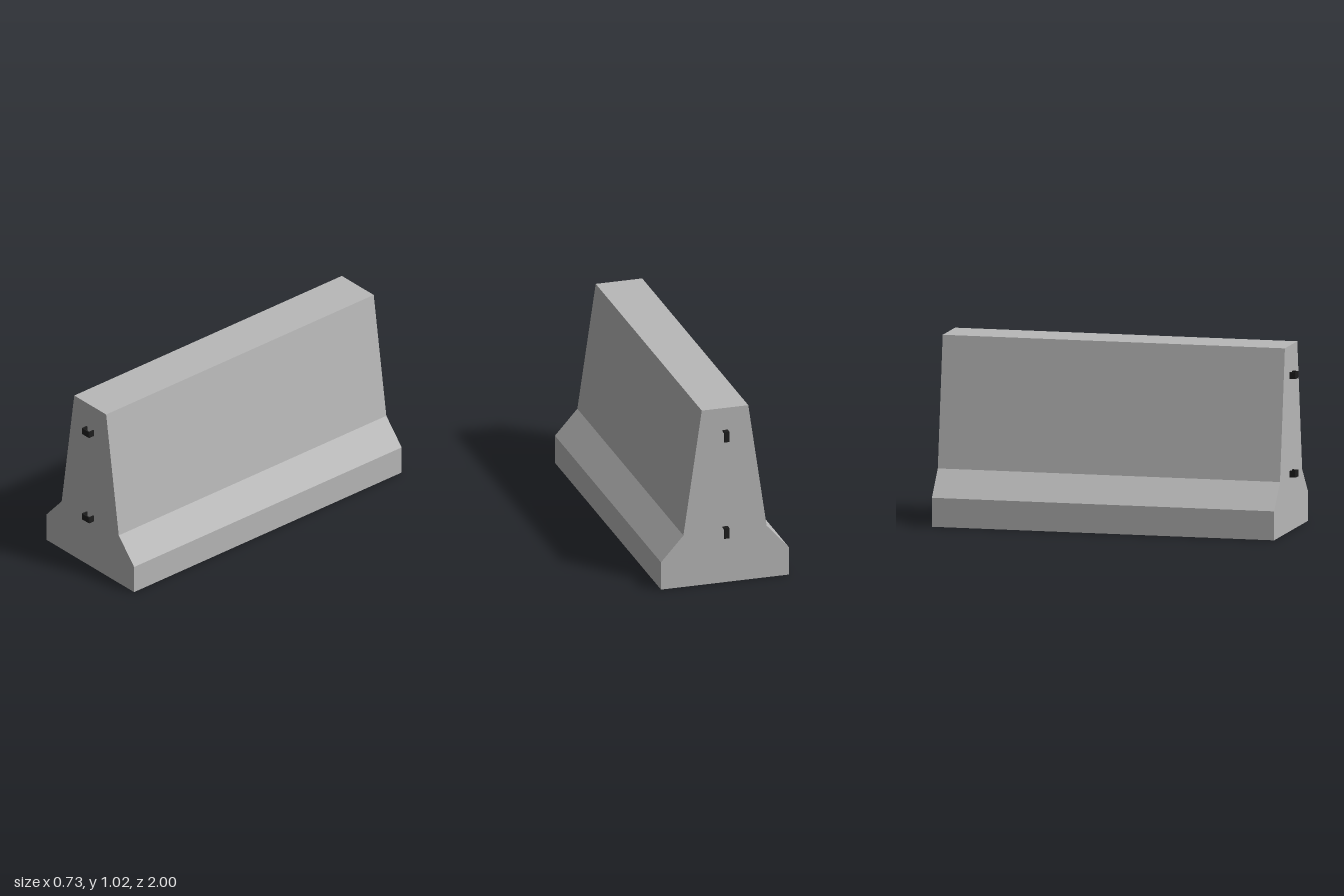
import * as THREE from 'three';

export function createModel() {
  const model = new THREE.Group();
  model.name = 'roadBarrier';
  const concrete = new THREE.MeshStandardMaterial({ color: 0xb8b8b8 });
  concrete.name = 'concrete';
  const steel = new THREE.MeshStandardMaterial({ color: 0x1e1e1e });
  steel.name = 'darkSteel';

  const END = 0.965; // half length of the concrete block
  const TIP = 1.0;   // outer reach of the steel fittings

  const outline = (points) => new THREE.Shape(points.map(([x, y]) => new THREE.Vector2(x, y)));
  const extrude = (points, depth) => {
    const geometry = new THREE.ExtrudeGeometry(outline(points), { depth, bevelEnabled: false });
    geometry.translate(0, 0, -depth / 2);
    return geometry;
  };
  const add = (name, geometry, material) => {
    const mesh = new THREE.Mesh(geometry, material);
    mesh.name = name;
    model.add(mesh);
    return mesh;
  };

  // Concrete block: mirrored half profile, wide foot and tapering wall
  const half = [[0.366, 0], [0.366, 0.16], [0.238, 0.303], [0.133, 1.025]];
  const mirrored = half.map(([x, y]) => [-x, y]).reverse();
  add('concreteBlock', extrude([...half, ...mirrored], END * 2), concrete);

  // Front eyes: U-shaped straps with chamfered corners, open from above
  const w = 0.031, t = 0.007, c = 0.004, reach = TIP - END;
  const strap = [
    [-w, -0.003], [-w + t, -0.003], [-w + t, reach - t], [w - t, reach - t],
    [w - t, -0.003], [w, -0.003], [w, reach - c], [w - c, reach],
    [-w + c, reach], [-w, reach - c],
  ];
  for (const [level, y] of [['lower', 0.316], ['upper', 0.86]]) {
    const geometry = extrude(strap, 0.036);
    geometry.rotateX(Math.PI / 2);
    add(level + 'FrontEye', geometry, steel).position.set(0, y, END);
  }

  // Back hooks: flat arm reaching out, then bent downwards
  const hook = [
    [-0.003, 0], [-0.003, -0.007], [reach - 0.007, -0.007],
    [reach - 0.007, -0.06], [reach, -0.06], [reach, 0],
  ];
  for (const [level, y] of [['lower', 0.329], ['upper', 0.896]]) {
    const geometry = extrude(hook, 0.03);
    geometry.rotateY(Math.PI / 2); // profile x runs towards -z
    add(level + 'BackHook', geometry, steel).position.set(0, y, -END);
  }

  return model;
}
